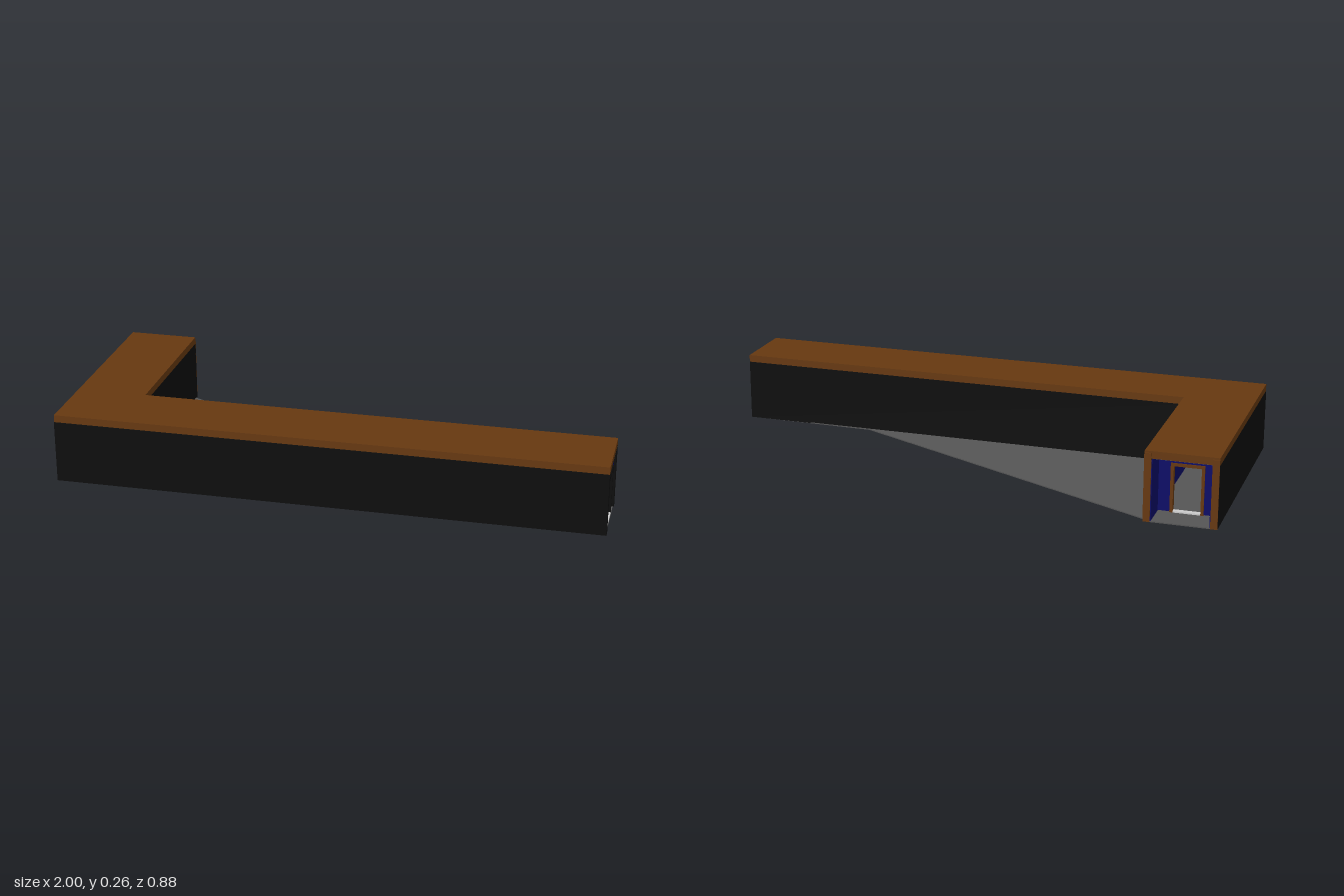
import * as THREE from 'three';

const mat = (color) => new THREE.MeshStandardMaterial({ color, side: THREE.DoubleSide });
const black = mat(0x0d0d0d), brown = mat(0x663810), blue = mat(0x0b0b66);
const grey = mat(0x555555), pale = mat(0xcccccc);

const TOP = 0.23, T = 0.025;

// Box given by its minimum and maximum corners
function box(parent, name, material, [x0, y0, z0], [x1, y1, z1]) {
  const mesh = new THREE.Mesh(new THREE.BoxGeometry(x1 - x0, y1 - y0, z1 - z0), material);
  mesh.position.set((x0 + x1) / 2, (y0 + y1) / 2, (z0 + z1) / 2);
  mesh.name = name;
  parent.add(mesh);
}

// Horizontal slab from a list of [x, z] corners
function slab(parent, name, material, corners, y0, y1) {
  const shape = new THREE.Shape(corners.map(([x, z]) => new THREE.Vector2(x, z)));
  const geo = new THREE.ExtrudeGeometry(shape, { depth: y1 - y0, bevelEnabled: false });
  geo.rotateX(Math.PI / 2);
  const mesh = new THREE.Mesh(geo, material);
  mesh.position.y = y1;
  mesh.name = name;
  parent.add(mesh);
}

// Upright panel with a doorway, spanning [0, width] along local x
function doorPanel(name, width, from, to, height, panelMat, frameMat) {
  const group = new THREE.Group();
  group.name = name;
  const panel = new THREE.Shape();
  panel.moveTo(0, 0.006);
  [[from, 0.006], [from, height], [to, height], [to, 0.006], [width, 0.006], [width, 0.225], [0, 0.225]]
    .forEach(([x, y]) => panel.lineTo(x, y));
  const mesh = new THREE.Mesh(new THREE.ExtrudeGeometry(panel, { depth: 0.012, bevelEnabled: false }), panelMat);
  mesh.name = 'panel';
  group.add(mesh);
  const f = 0.011;
  box(group, 'doorJamb', frameMat, [from, 0.004, -0.004], [from + f, height, 0.016]);
  box(group, 'doorJamb', frameMat, [to - f, 0.004, -0.004], [to, height, 0.016]);
  box(group, 'doorLintel', frameMat, [from, height - f, -0.004], [to, height, 0.016]);
  box(group, 'threshold', pale, [from + f, 0.003, -0.004], [to - f, 0.009, 0.016]);
  return group;
}

export function createModel() {
  const model = new THREE.Group();
  model.name = 'cornerCorridor';

  // Floor sheet, cutting across the inner corner
  slab(model, 'floor', grey, [[-0.997, 0.437], [0.997, 0.437], [0.997, 0.183], [0.5, 0.177],
    [-0.743, -0.42], [-0.743, -0.437], [-0.997, -0.437]], 0, 0.004);

  // Outer walls: [x0, z0, x1, z1]
  const walls = [
    ['frontWall', -1, 0.44 - T, 1, 0.44],
    ['sideWall', -1, -0.437, -1 + T, 0.44 - T],
    ['innerLongWall', -0.74, 0.18, 1, 0.18 + T],
    ['innerShortWall', -0.74 - T, -0.437, -0.74, 0.18 + T],
  ];
  for (const [name, x0, z0, x1, z1] of walls) box(model, name, black, [x0, 0.001, z0], [x1, TOP, z1]);

  // Blue lining on the inside faces
  const e = 0.003, i = -1 + T, j = -0.74 - T, k = 0.44 - T, m = 0.18 + T;
  const linings = [
    [i, k - e, 0.975, k], [i, -0.437, i + e, k],
    [j, m, 0.975, m + e], [j - e, -0.437, j, m + e],
  ];
  for (const [x0, z0, x1, z1] of linings) box(model, 'wallLining', blue, [x0, 0.004, z0], [x1, 0.224, z1]);

  // Roof and the ceiling below it
  const outline = (o) => [[-1 + o, 0.436 - o], [1 - o, 0.436 - o], [1 - o, 0.18 + o],
    [-0.74 - o, 0.18 + o], [-0.74 - o, -0.435 + o], [-1 + o, -0.435 + o]];
  slab(model, 'roof', brown, outline(0), TOP, 0.257);
  slab(model, 'ceiling', grey, outline(0.012), 0.225, TOP - 0.001);
  box(model, 'endHeader', black, [0.98, 0.224, m], [1, TOP, k]);

  // End wall with doorway on the long arm
  const end = doorPanel('longArmEndWall', k - m, 0.04, 0.16, 0.185, blue, black);
  end.rotation.y = Math.PI / 2;
  end.position.set(0.98, 0, k);
  model.add(end);

  // Brown end posts on the open short arm, with a recessed doorway behind
  for (const x of [-1, -0.74 - T]) box(model, 'endPost', brown, [x, 0.001, -0.44], [x + T, 0.25, -0.434]);
  const inner = doorPanel('shortArmDoorway', j - i, 0.045, 0.165, 0.185, blue, brown);
  inner.position.set(i, 0, -0.33);
  model.add(inner);

  // Closed door with pale trim on the far inside wall
  box(model, 'doorTrim', pale, [i, 0.004, 0.305], [i + 0.008, 0.182, 0.358]);
  box(model, 'door', brown, [i, 0.004, 0.315], [i + 0.012, 0.176, 0.348]);

  return model;
}
